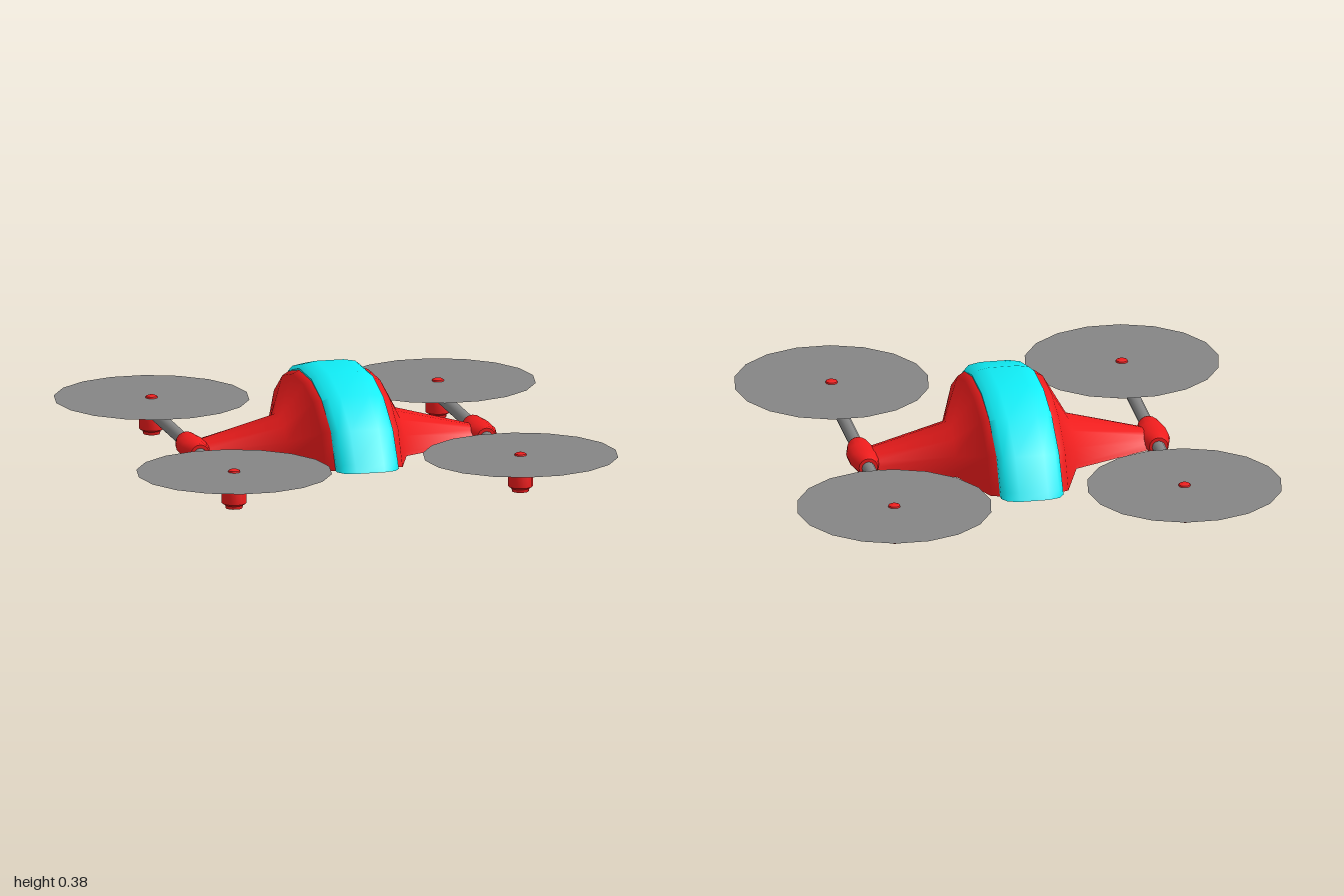
import * as THREE from 'three';
import { toCreasedNormals } from 'three/addons/utils/BufferGeometryUtils.js';

const red = new THREE.MeshStandardMaterial({ color: 0xee1c1c });
const redShell = new THREE.MeshStandardMaterial({ color: 0xee1c1c, side: THREE.DoubleSide });
const cyan = new THREE.MeshStandardMaterial({ color: 0x10ecf5 });
const grey = new THREE.MeshStandardMaterial({ color: 0x858585 });
const greyThin = new THREE.MeshStandardMaterial({ color: 0x858585, side: THREE.DoubleSide });

// Skins a list of rings (arrays of [x, y, z]); a solid also gets a closing strip and end caps
function loft(rings, solid) {
  const n = rings[0].length, index = [];
  for (let i = 0; i < rings.length - 1; i++) {
    for (let j = 0; j < (solid ? n : n - 1); j++) {
      const k = (j + 1) % n, a = i * n, b = a + n;
      index.push(a + j, b + j, b + k, a + j, b + k, a + k);
    }
  }
  const last = (rings.length - 1) * n;
  if (solid) for (let j = 1; j < n - 1; j++) {
    index.push(0, j, j + 1, last, last + j + 1, last + j);
  }
  const g = new THREE.BufferGeometry();
  g.setAttribute('position', new THREE.Float32BufferAttribute(rings.flat(2), 3));
  g.setIndex(index);
  g.computeVertexNormals();
  return g;
}

// Arch in unit size: from the front foot over the top to the rear foot
function arch(half, x, halfLength, bottom, top) {
  const pts = [...half, ...half.map(([z, y]) => [-z, y]).reverse()];
  return pts.map(([z, y]) => [x, bottom + y * (top - bottom), z * halfLength]);
}

function add(parent, name, geometry, material, x = 0, y = 0, z = 0) {
  const mesh = new THREE.Mesh(geometry, material);
  mesh.name = name;
  mesh.position.set(x, y, z);
  parent.add(mesh);
  return mesh;
}

const lathe = (pts, sides) =>
  toCreasedNormals(new THREE.LatheGeometry(pts.map(p => new THREE.Vector2(...p)), sides), 0.6);

export function createModel() {
  const model = new THREE.Group();
  model.name = 'quadcopter';

  // Domed centre strip with rounded rims and a flat base
  const domeHalf = [[1, 0], [0.97, 0.1], [0.82, 0.49], [0.53, 0.83], [0.19, 1]];
  const domeRings = [[-0.12, 0.92], [-0.1, 0.975], [-0.055, 1], [0.055, 1], [0.1, 0.975], [0.12, 0.92]]
    .map(([x, s]) => arch(domeHalf, x, 0.535 * s, 0.08, 0.08 + 0.295 * s));
  add(model, 'canopy', toCreasedNormals(loft(domeRings, true), 0.8), cyan);

  // Side shells tapering to the booms, open underneath
  const wingHalf = [[1, 0], [0.965, 0.11], [0.84, 0.51], [0.54, 0.85], [0.2, 1]];
  const wingRings = [
    [0.12, 0.465, 0.08, 0.345], [0.15, 0.435, 0.072, 0.333],
    [0.23, 0.18, 0.052, 0.195], [0.54, 0.085, 0.07, 0.115],
  ].map(r => arch(wingHalf, ...r));
  const wing = loft(wingRings, false);

  // Boom sleeve: a barrel that bulges sideways but keeps its height
  const sleeve = new THREE.LatheGeometry(
    [[0, -0.112], [0.036, -0.112], [0.042, -0.1], [0.058, -0.035], [0.058, 0.035], [0.042, 0.1], [0.036, 0.112], [0, 0.112]]
      .map(p => new THREE.Vector2(...p)), 16).rotateX(Math.PI / 2);
  const p = sleeve.attributes.position;
  for (let i = 0; i < p.count; i++) {
    const r = Math.hypot(p.getX(i), p.getY(i));
    if (r > 0.04) p.setY(i, p.getY(i) * 0.04 / r);
  }
  const sleeveSmooth = toCreasedNormals(sleeve, 0.8);

  const boom = new THREE.CylinderGeometry(0.025, 0.025, 1.266, 12).rotateX(Math.PI / 2);
  const motor = lathe([[0, 0], [0.032, 0], [0.034, 0.012], [0.047, 0.02], [0.047, 0.112],
    [0.04, 0.124], [0.026, 0.126], [0.022, 0.146], [0.014, 0.15], [0, 0.15]], 14);
  const disc = new THREE.CircleGeometry(0.3725, 18).rotateX(-Math.PI / 2);

  for (const side of [1, -1]) {
    const name = side > 0 ? 'left' : 'right';
    add(model, name + 'Wing', wing, redShell).rotation.y = side > 0 ? 0 : Math.PI;
    add(model, name + 'Sleeve', sleeveSmooth, red, side * 0.56, 0.09, 0);
    add(model, name + 'Boom', boom, grey, side * 0.56, 0.088, 0);
    // A motor and rotor disc at each end of the boom
    for (const end of [1, -1]) {
      const where = name + (end > 0 ? 'Front' : 'Rear');
      add(model, where + 'Motor', motor, red, side * 0.56, 0, end * 0.633);
      add(model, where + 'Rotor', disc, greyThin, side * 0.56, 0.14, end * 0.633);
    }
  }
  return model;
}
